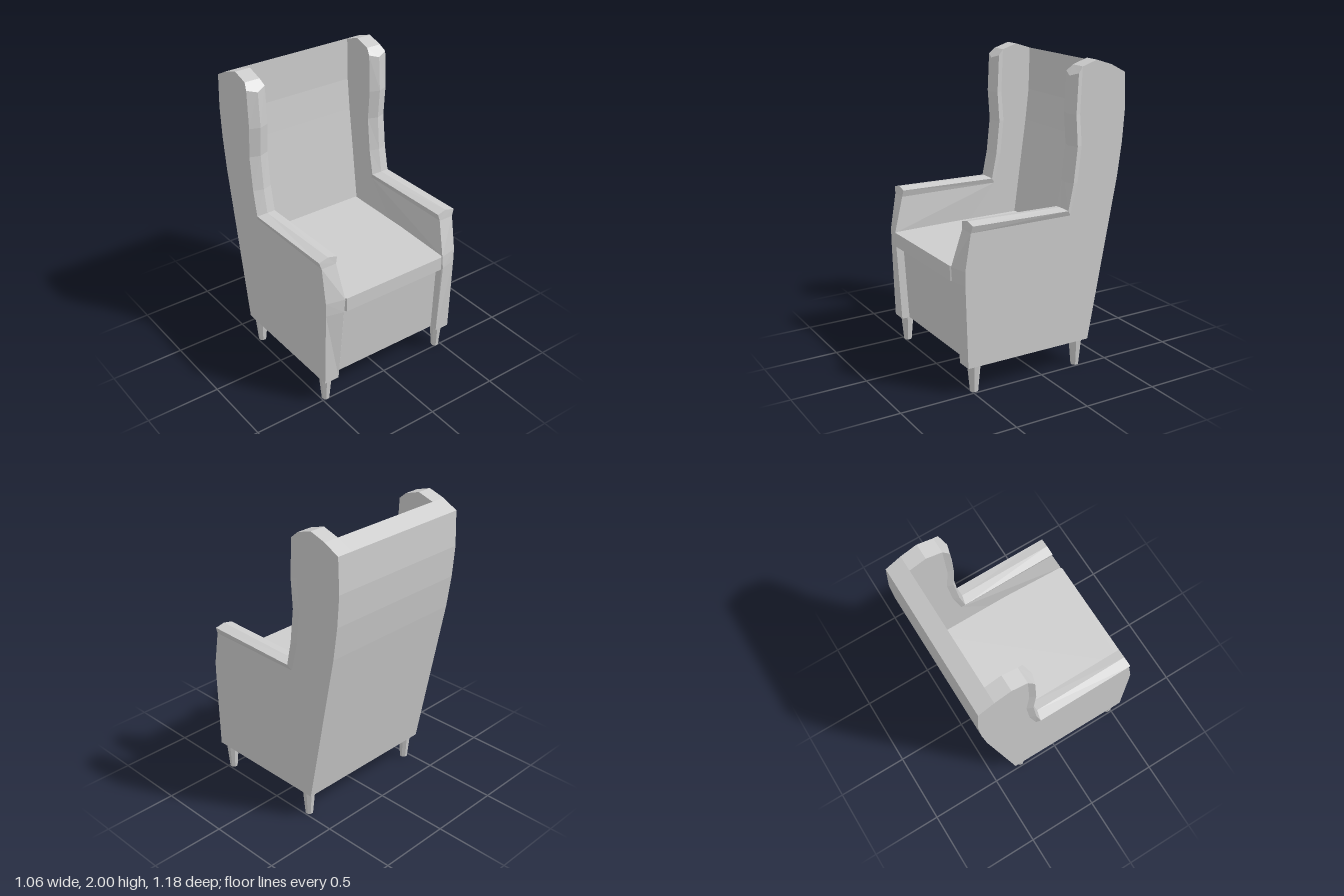
import * as THREE from 'three';

const OUTER = 0.515, INNER = 0.41;

// Extrudes a (z, y) side outline from x = x0 to x = x1
function extrudeSide(points, x0, x1) {
  const shape = new THREE.Shape(points.map(([z, y]) => new THREE.Vector2(z, y)));
  const g = new THREE.ExtrudeGeometry(shape, { depth: x1 - x0, bevelEnabled: false });
  return g.rotateY(-Math.PI / 2).translate(x1, 0, 0);
}

// Mirrors a non-indexed geometry across x = 0 and restores the winding
function mirrorX(source) {
  const g = source.clone().scale(-1, 1, 1);
  const p = g.attributes.position;
  const a = new THREE.Vector3(), b = new THREE.Vector3();
  for (let i = 0; i < p.count; i += 3) {
    a.fromBufferAttribute(p, i + 1);
    b.fromBufferAttribute(p, i + 2);
    p.setXYZ(i + 1, b.x, b.y, b.z);
    p.setXYZ(i + 2, a.x, a.y, a.z);
  }
  g.computeVertexNormals();
  return g;
}

// Joins open cross-sections with flat faces and caps both ends
function loft(sections) {
  const v = [];
  const tri = (...pts) => pts.forEach((p) => v.push(...p));
  for (let i = 0; i < sections.length - 1; i++) {
    const s = sections[i], t = sections[i + 1];
    for (let j = 0; j < s.length - 1; j++) {
      tri(s[j], t[j], t[j + 1]);
      tri(s[j], t[j + 1], s[j + 1]);
    }
  }
  const first = sections[0], last = sections[sections.length - 1];
  for (let j = 1; j < first.length - 1; j++) {
    tri(first[0], first[j], first[j + 1]);
    tri(last[0], last[j + 1], last[j]);
  }
  const g = new THREE.BufferGeometry();
  g.setAttribute('position', new THREE.Float32BufferAttribute(v, 3));
  g.computeVertexNormals();
  return g;
}

export function createModel() {
  const group = new THREE.Group();
  group.name = 'wingArmchair';
  const upholstery = new THREE.MeshStandardMaterial({ color: 0xcccccc });
  upholstery.name = 'light grey';

  function add(name, geometry) {
    const mesh = new THREE.Mesh(geometry, upholstery);
    mesh.name = name;
    group.add(mesh);
  }

  // Rear curve shared by the backrest and the side panels
  const rear = [[-0.58, 1.91], [-0.59, 1.68], [-0.575, 1.47], [-0.545, 1.25], [-0.345, 0.18]];

  // Stations down the wing and along the arm: base, edge and ridge as (z, y)
  const trim = [
    [[-0.26, 1.967], [-0.222, 1.93], [-0.2, 1.91]],
    [[-0.248, 1.68], [-0.21, 1.68], [-0.185, 1.68]],
    [[-0.265, 1.48], [-0.225, 1.48], [-0.2, 1.48]],
    [[-0.24, 1.25], [-0.2, 1.25], [-0.18, 1.25]],
    [[-0.19, 1.045], [-0.165, 1.08], [-0.15, 1.09]],
    [[0.52, 1.045], [0.515, 1.09], [0.512, 1.105]],
  ];

  // Side panel: arm and wing in one outline
  const side = extrudeSide([
    [0.545, 0.18], [0.56, 0.72], [0.56, 0.81],
    ...trim.map((s) => s[0]).reverse(),
    [-0.365, 2.0], [-0.475, 1.965], ...rear,
  ], INNER, OUTER);
  // Pull the inner front corner forward, so the arm front slants
  const p = side.attributes.position;
  for (let i = 0; i < p.count; i++) {
    if (p.getX(i) < 0.45 && p.getZ(i) > 0.555) {
      p.setZ(i, 0.588);
      p.setX(i, p.getY(i) > 0.75 ? 0.39 : 0.4);
    }
  }
  side.computeVertexNormals();
  add('leftSidePanel', side);
  add('rightSidePanel', mirrorX(side));

  // Ridged trim on the wing front and arm top
  const trimGeometry = loft(trim.map(([base, edge, ridge]) => [
    [INNER, base[1], base[0]],
    [0.398, edge[1], edge[0]],
    [0.463, ridge[1], ridge[0]],
    [0.53, edge[1], edge[0]],
    [OUTER, base[1], base[0]],
  ]));
  add('leftTrim', trimGeometry);
  add('rightTrim', mirrorX(trimGeometry));

  // Backrest with a curved front
  add('backrest', extrudeSide([
    ...rear, [-0.3, 0.18], [-0.355, 0.8], [-0.415, 1.25], [-0.445, 1.47],
    [-0.468, 1.68], [-0.475, 1.965],
  ], -INNER, INNER));

  // Seat cushion with clipped front corners
  const cushion = new THREE.Shape([
    [-0.405, 0.4], [0.405, 0.4], [0.405, -0.55], [0.38, -0.592], [-0.38, -0.592], [-0.405, -0.55],
  ].map(([x, y]) => new THREE.Vector2(x, y)));
  add('seatCushion', new THREE.ExtrudeGeometry(cushion, { depth: 0.095, bevelEnabled: false })
    .rotateX(-Math.PI / 2).translate(0, 0.72, 0));

  // Base below the cushion, set back between the arms
  add('seatBase', extrudeSide([
    [0.49, 0.181], [0.53, 0.73], [-0.36, 0.73], [-0.32, 0.181],
  ], -INNER, INNER));

  // Tapered legs
  const leg = new THREE.CylinderGeometry(0.043, 0.026, 0.185, 8)
    .rotateY(Math.PI / 8).toNonIndexed();
  leg.computeVertexNormals();
  for (const [end, z] of [['front', 0.48], ['back', -0.28]]) {
    for (const [hand, x] of [['Left', 0.467], ['Right', -0.467]]) {
      add(`${end}${hand}Leg`, leg.clone().translate(x, 0.0925, z));
    }
  }
  return group;
}
